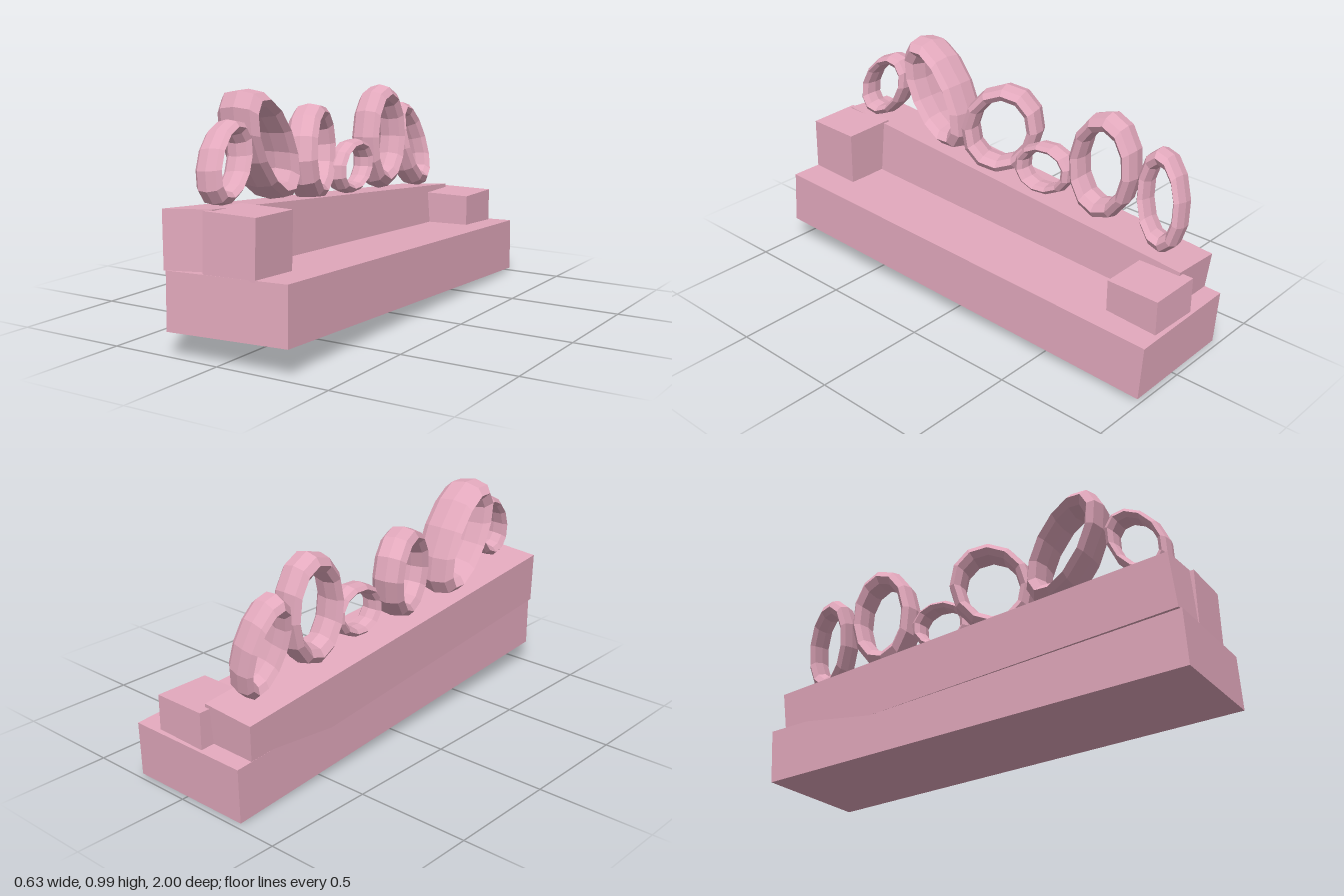
import * as THREE from 'three';

const material = new THREE.MeshStandardMaterial({ color: 0xe3a9bd, flatShading: true });

// Box whose width runs along xDir and whose length runs along zDir
function tiltedBox(name, size, centre, xDir, zDir) {
  const z = new THREE.Vector3(...zDir).normalize();
  const y = new THREE.Vector3().crossVectors(z, new THREE.Vector3(...xDir)).normalize();
  const x = new THREE.Vector3().crossVectors(y, z);
  const mesh = new THREE.Mesh(new THREE.BoxGeometry(...size), material);
  mesh.name = name;
  mesh.quaternion.setFromRotationMatrix(new THREE.Matrix4().makeBasis(x, y, z));
  mesh.position.set(...centre);
  return mesh;
}

// Stretched oval ring standing on edge, its hole facing sideways
function ovalRing(name, { at, long, short, width, tilt, roll, yaw }) {
  const tube = 0.18;
  const geometry = new THREE.TorusGeometry(1 - tube, tube, 8, 12);
  geometry.scale(short, long, width / 2 / tube);
  geometry.rotateZ(tilt);
  geometry.rotateY(Math.PI / 2);
  geometry.rotateZ(roll);
  geometry.rotateY(yaw);
  const mesh = new THREE.Mesh(geometry, material);
  mesh.name = name;
  mesh.position.set(...at);
  return mesh;
}

export function createModel() {
  const model = new THREE.Group();
  model.name = 'sofaWithRings';

  // Slightly tipped seat, back and two arm blocks
  model.add(
    tiltedBox('seatBase', [0.555, 0.237, 1.975], [0.004, 0.18, 0], [1, 0.027, -0.03], [0.0315, 0.05, 1]),
    tiltedBox('backrest', [0.24, 0.235, 1.89], [-0.17, 0.379, 0.027], [1, 0.08, -0.027], [0.019, 0.09, 1]),
    tiltedBox('frontArm', [0.24, 0.24, 0.24], [0.045, 0.46, 0.855], [1, -0.01, -0.02], [0.02, 0.03, 1]),
    tiltedBox('rearArm', [0.24, 0.24, 0.24], [0.02, 0.285, -0.855], [1, 0, 0], [0, 0, 1])
  );

  // Row of rings along the top of the back, front to rear
  const rings = [
    { at: [-0.125, 0.737, 0.772], long: 0.18, short: 0.115, width: 0.12, tilt: -0.6, roll: 0.08, yaw: 0.08 },
    { at: [-0.18, 0.767, 0.475], long: 0.268, short: 0.125, width: 0.2, tilt: 0.53, roll: 0.02, yaw: 0.03 },
    { at: [-0.18, 0.697, 0.105], long: 0.215, short: 0.18, width: 0.14, tilt: -0.5, roll: 0.06, yaw: 0.33 },
    { at: [-0.155, 0.602, -0.165], long: 0.155, short: 0.117, width: 0.1, tilt: -1.3, roll: 0.03, yaw: 0.05 },
    { at: [-0.183, 0.702, -0.46], long: 0.243, short: 0.16, width: 0.14, tilt: -0.08, roll: 0.03, yaw: 0.05 },
    { at: [-0.2, 0.635, -0.745], long: 0.218, short: 0.105, width: 0.13, tilt: 0.22, roll: 0.2, yaw: 0.03 },
  ];
  rings.forEach((ring, i) => model.add(ovalRing(`ring${i + 1}`, ring)));

  return model;
}
